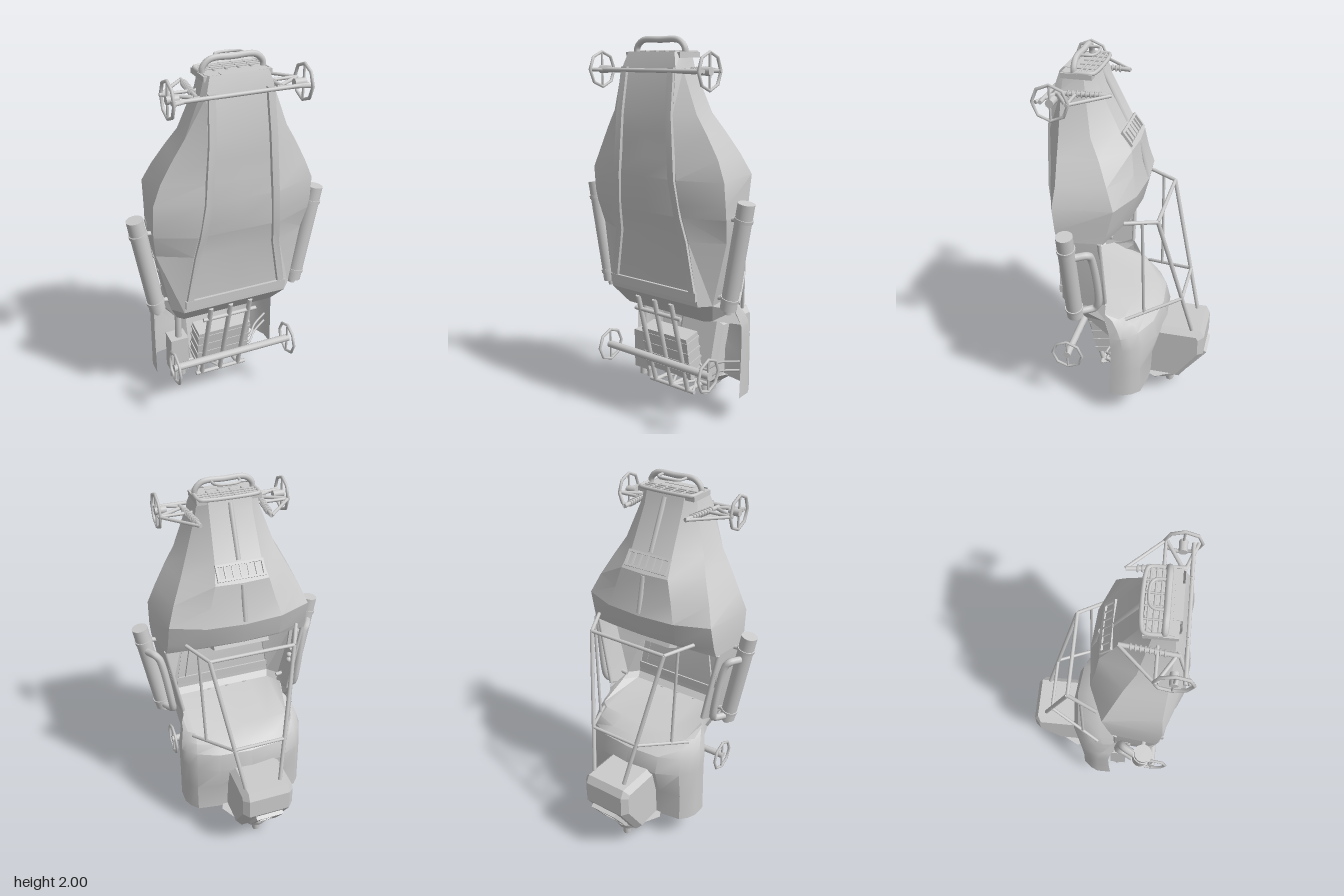
import * as THREE from 'three';
import { toCreasedNormals } from 'three/addons/utils/BufferGeometryUtils.js';

const mat = new THREE.MeshStandardMaterial({ color: 0xcccccc, side: THREE.DoubleSide });
const V = (p) => new THREE.Vector3(...p);

export function createModel() {
  const root = new THREE.Group();
  const add = (name, geo, pos = [0, 0, 0], parent = root) => {
    const m = new THREE.Mesh(geo, mat);
    m.name = name;
    m.position.set(...pos);
    parent.add(m);
    return m;
  };
  const box = (name, size, pos, parent) => add(name, new THREE.BoxGeometry(...size), pos, parent);
  // straight round bar between two points
  const rod = (name, a, b, r = 0.01, sides = 10) => {
    const p = V(a), d = V(b).sub(p);
    const m = add(name, new THREE.CylinderGeometry(r, r, d.length(), sides), p.clone().addScaledVector(d, 0.5).toArray());
    m.quaternion.setFromUnitVectors(new THREE.Vector3(0, 1, 0), d.normalize());
    return m;
  };
  const bentTube = (name, pts, r) => add(name,
    new THREE.TubeGeometry(new THREE.CatmullRomCurve3(pts.map(V), false, 'centripetal'), 48, r, 8));
  // skin over rows of points; half rows are mirrored across x = 0
  const skin = (name, rows, crease, mirror = true) => {
    const full = rows.map((h) => mirror
      ? [...h, ...h.slice(0, -1).reverse().map(([x, y, z]) => [-x, y, z])] : h);
    const n = full[0].length, idx = [];
    for (let i = 0; i < full.length - 1; i++) for (let j = 0; j < n - 1; j++) {
      const a = i * n + j, b = a + n;
      idx.push(a, a + 1, b, b, a + 1, b + 1);
    }
    const g = new THREE.BufferGeometry();
    g.setAttribute('position', new THREE.Float32BufferAttribute(full.flat(2), 3));
    g.setIndex(idx);
    return add(name, toCreasedNormals(g, crease));
  };
  // rectangular frame plate with a hole, facing local +z
  const frame = (name, w, h, t, depth, parent) => {
    const rect = (a, b, C) => new C([[-a, -b], [a, -b], [a, b], [-a, b]].map((p) => new THREE.Vector2(...p)));
    const s = rect(w / 2, h / 2, THREE.Shape);
    s.holes.push(rect(w / 2 - t, h / 2 - t, THREE.Path));
    return add(name, new THREE.ExtrudeGeometry(s, { depth, bevelEnabled: false }), [0, 0, 0], parent);
  };
  const facing = (name, pos, normal) => {
    const g = new THREE.Group();
    g.name = name;
    g.position.set(...pos);
    g.lookAt(V(pos).add(V(normal)));
    root.add(g);
    return g;
  };

  // nose body: y, floor z, floor half width, chine x z, shoulder x z, bonnet x z, ridge z
  const nose = [
    [1.93, .335, .14, .155, .31, .15, .22, .11, .178, .175],
    [1.85, .36, .165, .178, .32, .165, .21, .11, .155, .15],
    [1.65, .39, .17, .255, .32, .235, .17, .12, .06, .05],
    [1.56, .393, .175, .31, .315, .28, .12, .14, -.005, -.015],
    [1.45, .395, .18, .37, .31, .335, .07, .17, -.02, -.03],
    [1.35, .4, .195, .412, .32, .375, .03, .2, -.043, -.06],
    [1.23, .39, .205, .415, .31, .38, .06, .2, -.015, -.03],
  ];
  const rows = nose.map(([y, f, a, b, bz, c, cz, d, dz, t]) =>
    [[0, y, f], [a, y, f], [b, y, bz], [c, y, cz], [d, y, dz], [0, y, t]]);
  rows.push([[0, 1.17, .38], [.215, 1.17, .38], [.412, 1.17, .3], [.385, 1.17, .08], [.2, 1.22, -.01], [0, 1.225, -.025]]);
  skin('noseBody', rows, .4);
  box('noseCap', [.33, .025, .15], [0, 1.915, .25]);
  box('dashboard', [.3, .05, .08], [0, 1.19, .05]).rotation.x = .4;

  // open cockpit tub
  skin('cockpitTub', [
    [1.17, .38, .215, .412, .3, .385], [1.05, .353, .23, .395, .27, .375], [.73, .345, .28, .33, .29, .31],
  ].map(([y, f, a, b, bz, c]) => [[c, y, .1], [b, y, bz], [a, y, f], [0, y, f]]), .25);
  skin('tubHeel', [
    [[.31, .73, .1], [.33, .73, .29], [.28, .73, .345], [0, .73, .345]],
    [[.33, .65, .1], [.28, .62, .22], [.25, .62, .25], [0, .62, .25]],
    [[.35, .57, .07], [.3, .6, .1], [.25, .6, .12], [0, .6, .12]],
  ], .4);
  // seat back running into the curved rear deck
  skin('rearDeck', [
    [[.31, .77, .1], [.315, .735, .16], [.315, .72, .22], [.27, .705, .31], [.15, .7, .318], [0, .7, .318]],
    [[.33, .66, .1], [.33, .66, .06], [.31, .66, .03], [.27, .655, .005], [.15, .65, 0], [0, .65, 0]],
    [[.345, .6, .08], [.345, .61, .03], [.32, .615, 0], [.28, .615, -.04], [.16, .618, -.085], [0, .62, -.095]],
    [[.355, .56, .07], [.355, .56, .01], [.335, .565, -.025], [.29, .57, -.07], [.18, .578, -.13], [0, .58, -.15]],
    [[.355, .48, .065], [.355, .48, 0], [.335, .48, -.045], [.295, .48, -.095], [.18, .48, -.155], [0, .48, -.175]],
    [[.355, .33, .07], [.355, .33, 0], [.335, .33, -.045], [.3, .33, -.085], [.18, .33, -.115], [0, .33, -.12]],
    [[.355, .16, .08], [.355, .16, 0], [.335, .16, -.045], [.3, .16, -.085], [.18, .16, -.105], [0, .16, -.11]],
  ], .6);

  // raised rim on the floor
  const rim = [[1.86, .163, .36], [1.65, .172, .392], [1.35, .192, .402], [1.17, .212, .382], [1.05, .228, .355], [.76, .278, .348]];
  for (const s of [1, -1]) {
    skin('floorRim', rim.map(([y, x, z]) => [[s * x, y, z - .01], [s * (x - .004), y, z + .01],
      [s * (x - .038), y, z + .01], [s * (x - .045), y, z - .01]]), .4, false);
  }
  box('floorRimEnd', [.55, .045, .022], [0, .78, .349]);

  // bonnet vent and centre ribs
  const vent = facing('bonnetVent', [0, 1.605, .03], [0, .6, -.8]);
  frame('ventFrame', .25, .085, .012, .015, vent);
  for (let i = -2; i <= 2; i++) box('ventFin', [.008, .07, .014], [i * .04, 0, .007], vent);
  rod('frontRib', [0, 1.9, .172], [0, 1.65, .057], .014, 6);
  rod('rearRib', [0, 1.55, -.01], [0, 1.36, -.048], .014, 6);

  // nose bumper and grille
  bentTube('bumperHoop', [[-.148, 1.92, .265], [-.145, 1.95, .265], [-.11, 1.982, .265], [0, 1.985, .265],
    [.11, 1.982, .265], [.145, 1.95, .265], [.148, 1.92, .265]], .015);
  bentTube('bumperHandle', [[-.068, 1.985, .265], [-.065, 1.985, .21], [-.045, 1.985, .192], [.045, 1.985, .192],
    [.065, 1.985, .21], [.068, 1.985, .265]], .007);
  bentTube('grilleLoop', [[-.155, 1.928, .26], [-.15, 1.928, .18], [-.12, 1.928, .168], [.12, 1.928, .168],
    [.15, 1.928, .18], [.155, 1.928, .26]], .01);
  for (const z of [.19, .215, .24]) rod('grilleSlat', [-.15, 1.93, z], [.15, 1.93, z], .005, 6);
  for (const x of [-.09, -.03, .03, .09]) rod('grilleBar', [x, 1.93, .17], [x, 1.93, .27], .005, 6);
  box('skidPlate', [.17, .03, .04], [0, 1.915, .315]);

  // hub ring with spokes, wheel axis along x
  const wheel = (s, y) => {
    const ring = add('hubRing', new THREE.TorusGeometry(.085, .008, 6, 8), [s * .33, y, .322]);
    ring.rotation.set(0, Math.PI / 2, 0);
    rod('hubSpoke', [s * .33, y - .08, .322], [s * .33, y + .08, .322], .006, 6);
    rod('hub', [s * .28, y, .322], [s * .338, y, .322], .02);
  };
  rod('frontAxle', [-.33, 1.845, .368], [.33, 1.845, .368], .01);
  rod('rearAxle', [-.28, .375, .322], [.28, .375, .322], .02);

  for (const s of [1, -1]) {
    const M = (x, y, z) => [s * x, y, z];
    wheel(s, 1.845);
    wheel(s, .375);
    // front suspension
    rod('upperArm', M(.16, 1.845, .245), M(.34, 1.845, .245), .008);
    rod('diagonalArm', M(.18, 1.845, .08), M(.33, 1.845, .24), .008);
    rod('leadingArm', M(.19, 1.84, .335), M(.33, 1.845, .25), .009);
    rod('trailingArm', M(.19, 1.84, .335), M(.33, 1.845, .39), .009);
    rod('spring', M(.178, 1.845, .08), M(.205, 1.845, .34), .011);
    for (let i = 0; i < 8; i++) {
      const t = .2 + i * .08;
      add('springCoil', new THREE.TorusGeometry(.013, .005, 5, 10), M(.178 + .027 * t, 1.845, .08 + .26 * t));
    }
    // side canister with clamps and loop pipe
    rod('sideCanister', M(.483, 1.252, .24), M(.388, .715, .24), .042, 20);
    for (const t of [.15, .9]) {
      const x = .483 - .095 * t, y = 1.252 - .537 * t;
      rod('canisterClamp', M(x + .002, y + .008, .24), M(x - .002, y - .008, .24), .047, 20);
      rod('canisterBracket', M(x, y, .24), M(x - .1, y - .01, .24), .012);
    }
    rod('canisterFoot', M(.388, .715, .24), M(.383, .69, .24), .02);
    bentTube('sidePipe', [M(.46, 1.125, .2), M(.43, 1.125, .145), M(.412, 1.1, .135), M(.365, .8, .12),
      M(.36, .76, .14), M(.39, .75, .2)], .02);
    rod('tubRim', M(.385, 1.17, .1), M(.31, .76, .1), .01);
    // roll cage
    rod('cageRoof', M(.3, 1.25, 0), M(.225, 1.235, -.155), .01);
    rod('cageRear', M(.225, 1.235, -.155), M(.1, .49, -.33), .011);
    rod('cageBrace', M(.29, .65, 0), M(.145, .73, -.275), .009);
    rod('cagePost', M(.262, 1.243, -.085), M(.24, .68, -.09), .008);
  }
  rod('cageFrontBar', [-.225, 1.235, -.155], [.225, 1.235, -.155], .01);
  rod('cageRearBar', [-.145, .73, -.275], [.145, .73, -.275], .009);

  // control panel and knobs on the inner right wall
  const panel = facing('wallPanel', [-.375, 1.04, .17], [1, .1, 0]);
  frame('wallPanelFrame', .1, .16, .012, .02, panel);
  for (const y of [.9, .935]) add('knob', new THREE.SphereGeometry(.016, 12, 8), [-.345, y, .17]);

  // engine cover: side profile (z, y) extruded across x
  const prof = [[-.02, .17], [-.1, .46], [-.36, .46], [-.37, .44], [-.37, .34], [-.25, .165]];
  const cover = add('engineCover', new THREE.ExtrudeGeometry(
    new THREE.Shape(prof.map(([z, y]) => new THREE.Vector2(-z, y))),
    { depth: .23, bevelSize: .03, bevelThickness: .03, bevelSegments: 1 }), [-.13, 0, 0]);
  cover.rotation.y = Math.PI / 2;
  const grill = facing('rearGrill', [-.015, .25, -.343], [0, -.6, -.8]);
  frame('rearGrillFrame', .155, .18, .032, .022, grill);
  box('rearGrillSlat', [.07, .07, .012], [0, 0, .008], grill);

  // tail plate and exhaust pipes
  const mount = add('tailMount', toCreasedNormals(new THREE.CylinderGeometry(.19, .1, .07, 8), .3), [-.015, .135, -.14]);
  mount.scale.z = .8;
  const plate = add('tailPlate', new THREE.CylinderGeometry(.1, .085, .035, 20), [-.015, .085, -.16]);
  plate.scale.x = .85;
  for (const z of [-.115, -.195]) {
    add('exhaustPipe', new THREE.CylinderGeometry(.028, .022, .08, 14), [-.015, .04, z]);
    add('exhaustCollar', new THREE.CylinderGeometry(.034, .034, .02, 14), [-.015, .06, z]);
  }

  // underside frame, engine and lattice
  for (const x of [-.125, -.015, .095]) {
    rod('frameRail', [x, .7, .32], [x, .17, .185], .013);
    rod('frameFoot', [x, .17, .185], [x, .16, .05], .012);
    rod('frameStrut', [x, .38, .235], [x, .28, .07], .008);
  }
  for (const [y, z] of [[.62, .3], [.17, .185], [.17, .06]]) rod('frameCross', [-.16, y, z], [.14, y, z], .011);
  for (let i = 0; i < 4; i++) {
    const x = -.15 + i * .07;
    rod('lattice', [x, .17, i % 2 ? .06 : .185], [x + .07, .17, i % 2 ? .185 : .06], .008);
  }
  const engine = box('engineBlock', [.3, .24, .1], [-.015, .38, .18]);
  engine.rotation.x = .17;
  for (let i = 0; i < 4; i++) box('engineFin', [.31, .012, .106], [0, -.09 + i * .06, 0], engine);
  rod('damper', [-.24, .58, .13], [-.24, .3, .13], .018);
  box('damperBody', [.1, .22, .09], [-.245, .31, .12]);
  for (const x of [-.27, -.22]) rod('damperFoot', [x, .22, .12], [x, .145, .12], .02);
  for (const y of [.27, .32]) bentTube('fuelLine', [[.12, y, .12], [.18, y - .02, .14], [.24, y + .02, .1], [.33, y + .03, .04]], .006);

  return root;
}
